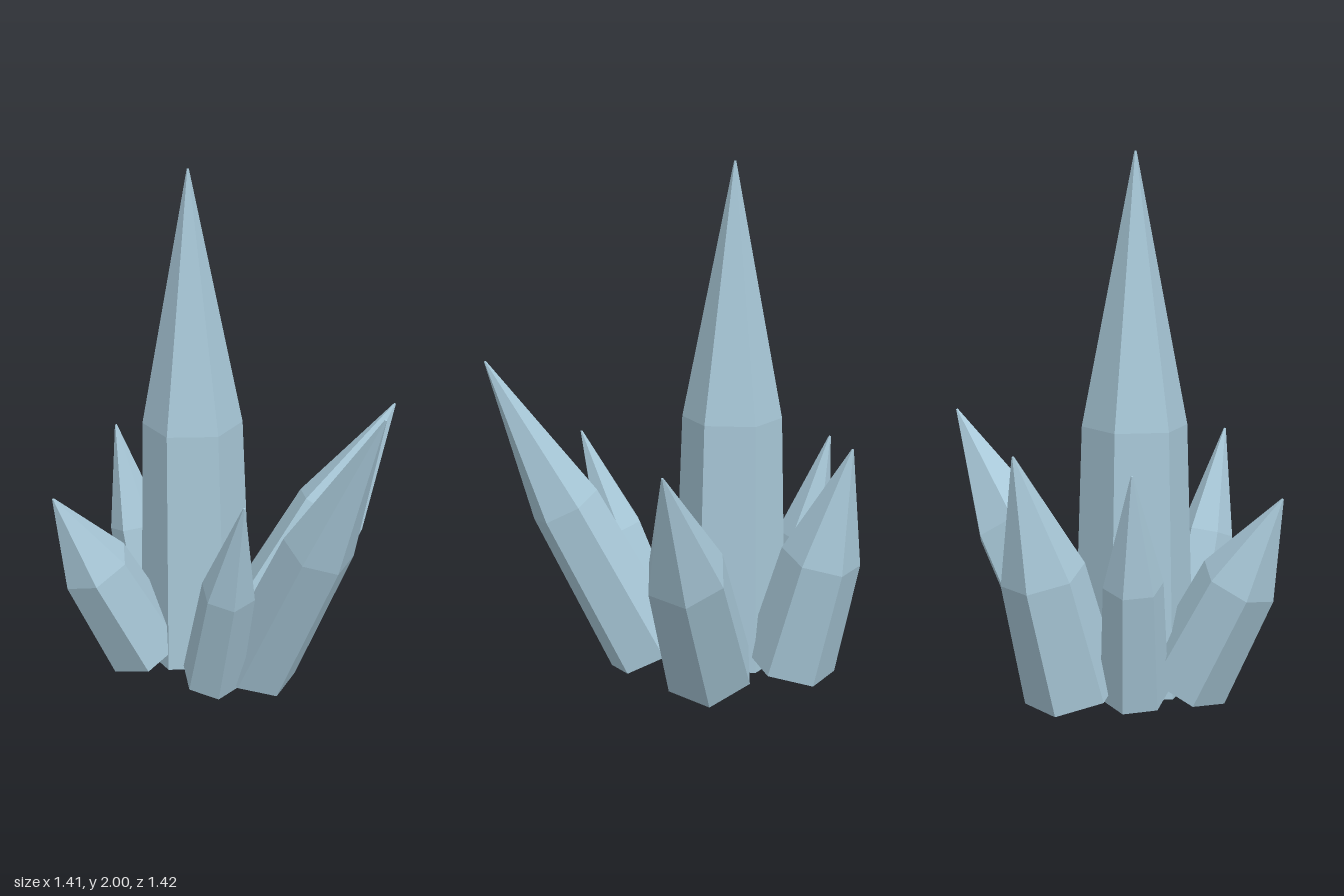
import * as THREE from 'three';

const UP = new THREE.Vector3(0, 1, 0);
const SIDES = 6;

// base centre, tip, base radius, shoulder position along the axis, spin in degrees
const CRYSTALS = [
  { name: 'centreCrystal', base: [-0.126, 0.045, -0.21], tip: [-0.13, 2.0, -0.215], radius: 0.225, shoulder: 0.5, spin: -2 },
  { name: 'frontCrystal', base: [-0.05, 0.085, 0.115], tip: [0.07, 1.27, 0.71], radius: 0.16, shoulder: 0.52, spin: 0 },
  { name: 'smallFrontCrystal', base: [-0.235, 0.08, 0.08], tip: [-0.295, 0.92, 0.395], radius: 0.12, shoulder: 0.53, spin: -20 },
  { name: 'leftCrystal', base: [0.14, 0.09, -0.135], tip: [0.7, 1.0, 0.01], radius: 0.18, shoulder: 0.53, spin: 30 },
  { name: 'rightCrystal', base: [-0.34, 0.095, -0.25], tip: [-0.7, 0.81, -0.29], radius: 0.165, shoulder: 0.56, spin: 30 },
  { name: 'backLeftCrystal', base: [0.025, 0.08, -0.45], tip: [0.155, 0.97, -0.66], radius: 0.178, shoulder: 0.51, spin: 0 },
  { name: 'backRightCrystal', base: [-0.195, 0.07, -0.4], tip: [-0.255, 0.92, -0.6], radius: 0.125, shoulder: 0.52, spin: 0 },
];

// A tapering six-sided shaft with a long pointed tip, leaning from base to tip
function makeCrystal({ name, base, tip, radius, shoulder, spin }, material) {
  const start = new THREE.Vector3(...base);
  const axis = new THREE.Vector3(...tip).sub(start);
  const length = axis.length();
  const shaftLength = length * shoulder;
  const tipLength = length - shaftLength;
  const shoulderRadius = radius * 0.86;
  const angle = THREE.MathUtils.degToRad(spin);

  const shaft = new THREE.Mesh(
    new THREE.CylinderGeometry(shoulderRadius, radius, shaftLength, SIDES, 1, false, angle), material);
  shaft.name = 'shaft';
  shaft.position.y = shaftLength / 2;

  const point = new THREE.Mesh(
    new THREE.CylinderGeometry(0.004, shoulderRadius, tipLength, SIDES, 1, false, angle), material);
  point.name = 'point';
  point.position.y = shaftLength + tipLength / 2;

  const crystal = new THREE.Group();
  crystal.name = name;
  crystal.add(shaft, point);
  crystal.position.copy(start);
  crystal.quaternion.setFromUnitVectors(UP, axis.normalize());
  return crystal;
}

export function createModel() {
  const material = new THREE.MeshStandardMaterial({ color: 0xa8c8d8, flatShading: true });
  material.name = 'pale blue crystal';

  const model = new THREE.Group();
  model.name = 'crystalCluster';
  for (const spec of CRYSTALS) model.add(makeCrystal(spec, material));
  return model;
}
